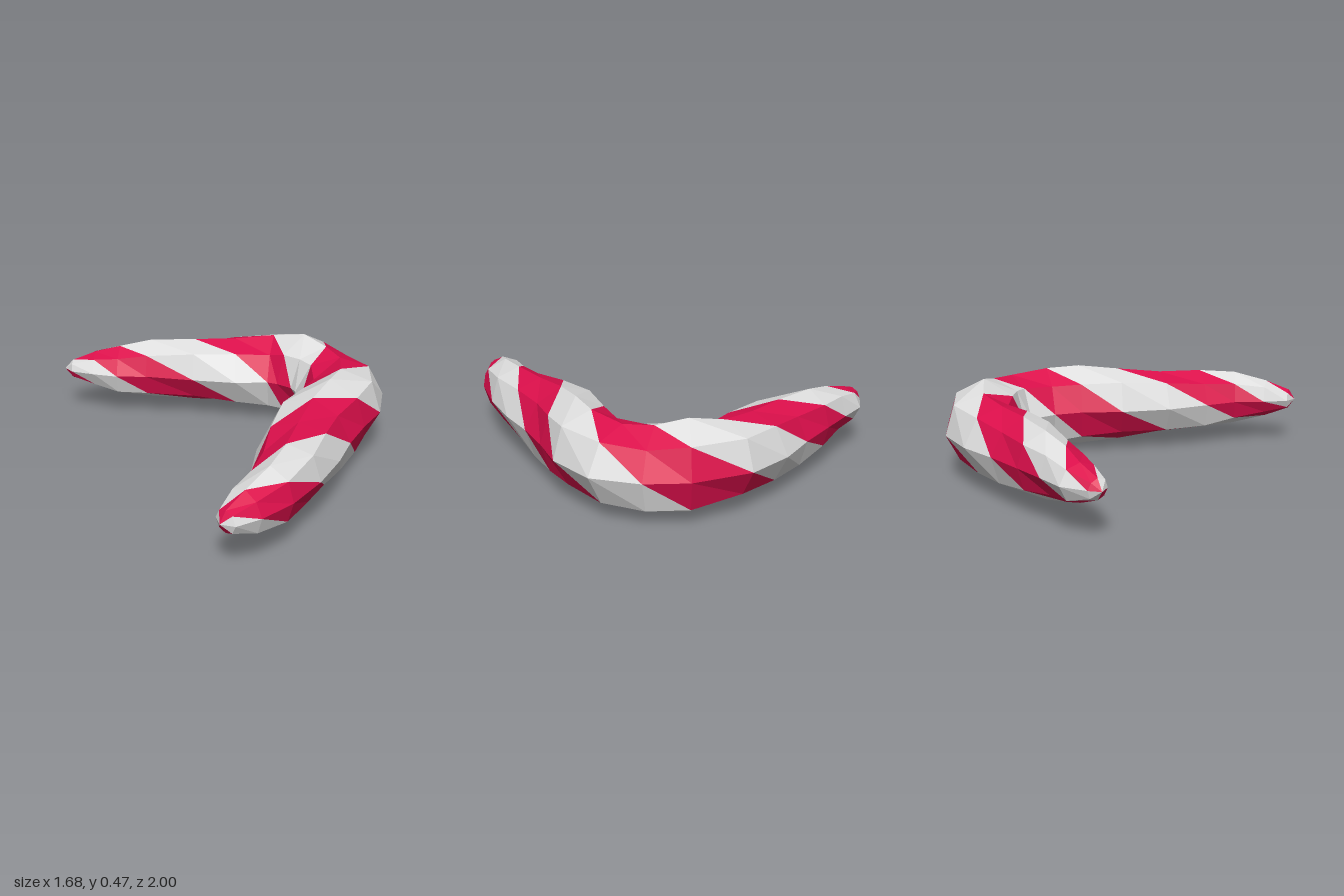
import * as THREE from 'three';

const SIDES = 8;
const TWIST = Math.PI / 4; // each ring turns one side further
const MID_Y = 0.235;

// Rings along the bend: centre x, centre z, radius, heading of the outer side (degrees)
const RINGS = [
  [-0.84, 0.92, 0, 90],
  [-0.805, 0.92, 0.057, 90],
  [-0.68, 0.905, 0.1, 88],
  [-0.505, 0.875, 0.135, 78],
  [-0.32, 0.79, 0.163, 62],
  [-0.12, 0.67, 0.184, 60],
  [0.09, 0.56, 0.197, 67],
  [0.29, 0.485, 0.203, 68],
  [0.45, 0.41, 0.21, 60],
  [0.6, 0.27, 0.211, 45],
  [0.65, 0.125, 0.203, 19],
  [0.645, -0.03, 0.217, 0],
  [0.585, -0.2, 0.199, -36],
  [0.435, -0.345, 0.194, -47],
  [0.275, -0.495, 0.174, -45],
  [0.11, -0.67, 0.152, -37],
  [-0.02, -0.78, 0.13, -42],
  [-0.115, -0.885, 0.1, -48],
  [-0.213, -0.955, 0.05, -45],
  [-0.242, -0.988, 0, -45],
];

// Corner j of ring k; the white ridges stand a little higher than the red ones
function corner(k, j) {
  const [x, z, r, deg] = RINGS[k];
  const heading = THREE.MathUtils.degToRad(deg);
  const a = Math.PI / 2 - TWIST * (k - 6) + (j * 2 * Math.PI) / SIDES;
  const radius = r * (1 + 0.08 * Math.sin((j * Math.PI) / 2));
  const out = radius * Math.cos(a);
  return [
    x + out * Math.cos(heading),
    MID_Y + radius * Math.sin(a),
    z + out * Math.sin(heading),
  ];
}

// One spiral stripe, two sides wide, running from tip to tip
function stripe(name, firstSide, material) {
  const pos = [];
  for (let k = 0; k < RINGS.length - 1; k++) {
    for (let j = firstSide; j < firstSide + 2; j++) {
      const a = corner(k, j), b = corner(k + 1, j);
      const c = corner(k + 1, j + 1), d = corner(k, j + 1);
      if (RINGS[k + 1][2] > 0) pos.push(...a, ...b, ...c);
      else pos.push(...a, ...b, ...d);
      if (RINGS[k][2] > 0 && RINGS[k + 1][2] > 0) pos.push(...a, ...c, ...d);
    }
  }
  const geometry = new THREE.BufferGeometry();
  geometry.setAttribute('position', new THREE.Float32BufferAttribute(pos, 3));
  geometry.computeVertexNormals(); // unshared corners give flat facets
  const mesh = new THREE.Mesh(geometry, material);
  mesh.name = name;
  return mesh;
}

export function createModel() {
  const white = new THREE.MeshStandardMaterial({ color: 0xdedede });
  white.name = 'white';
  const red = new THREE.MeshStandardMaterial({ color: 0xdc0f4b });
  red.name = 'red';

  const group = new THREE.Group();
  group.name = 'stripedBoomerang';
  group.add(
    stripe('whiteStripeUpper', 0, white),
    stripe('redStripeUpper', 2, red),
    stripe('whiteStripeLower', 4, white),
    stripe('redStripeLower', 6, red),
  );
  return group;
}
